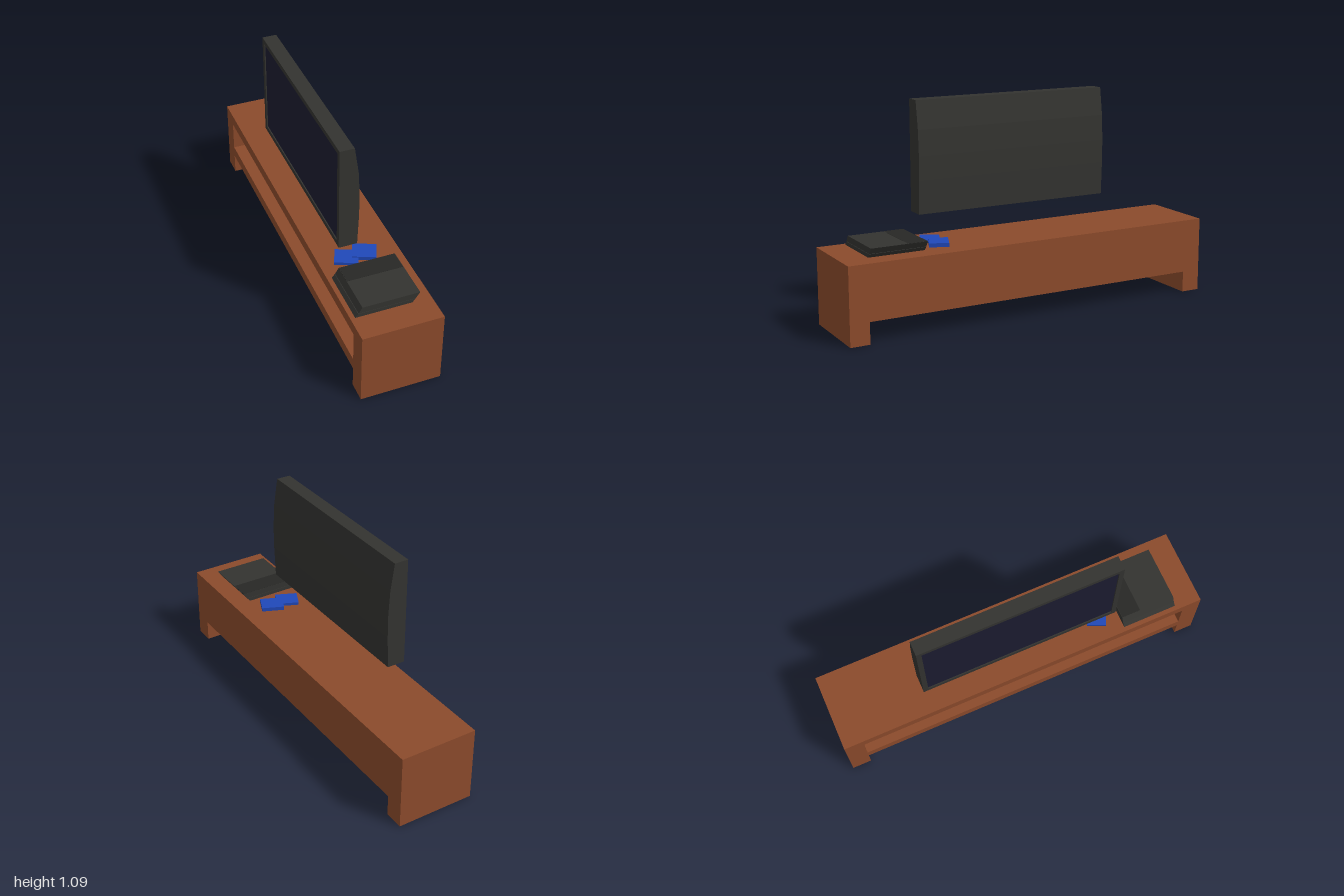
import * as THREE from 'three';

const material = (color) => new THREE.MeshStandardMaterial({ color, flatShading: true });
const wood = material(0x8b4a2b);
const plastic = material(0x333330);
const darkPlastic = material(0x272725);
const glass = material(0x1c1c30);
const blue = material(0x2048b8);

function addMesh(parent, name, geometry, mat) {
  const mesh = new THREE.Mesh(geometry, mat);
  mesh.name = name;
  parent.add(mesh);
  return mesh;
}

// Box given by its minimum and maximum corners
function addBox(parent, name, min, max, mat) {
  const size = max.map((v, i) => v - min[i]);
  const mesh = addMesh(parent, name, new THREE.BoxGeometry(...size), mat);
  mesh.position.set(...max.map((v, i) => (v + min[i]) / 2));
  return mesh;
}

// Profile in x and y, extruded from z0 to z1
function addPrism(parent, name, points, z0, z1, mat) {
  const shape = new THREE.Shape(points.map(([x, y]) => new THREE.Vector2(x, y)));
  const geometry = new THREE.ExtrudeGeometry(shape, { depth: z1 - z0, bevelEnabled: false });
  geometry.translate(0, 0, z0);
  return addMesh(parent, name, geometry, mat);
}

function rectangle(path, w, h) {
  path.moveTo(-w / 2, -h / 2);
  path.lineTo(w / 2, -h / 2);
  path.lineTo(w / 2, h / 2);
  path.lineTo(-w / 2, h / 2);
  path.closePath();
  return path;
}

// Long low bench with an open shelf on the -x side
function createBench() {
  const bench = new THREE.Group();
  bench.name = 'bench';
  const w = 0.205;
  for (const s of [-1, 1]) {
    const z = s * 0.95;
    addBox(bench, 'endPanel', [-w, 0, z - 0.05], [w, 0.39, z + 0.05], wood);
  }
  addBox(bench, 'topBoard', [-w, 0.33, -0.9], [w, 0.39, 0.9], wood);
  addBox(bench, 'shelfBoard', [-w, 0.11, -0.9], [w, 0.17, 0.9], wood);
  addBox(bench, 'backPanel', [w - 0.03, 0.17, -0.9], [w, 0.33, 0.9], wood);
  return bench;
}

// Wall television: curved rear housing, bezel and recessed screen
function createTelevision() {
  const tv = new THREE.Group();
  tv.name = 'television';
  const width = 1.056, height = 0.56, bottom = 0.532, border = 0.026;
  const housing = [
    [-0.12, 0.532], [-0.038, 0.532], [-0.031, 0.7], [-0.03, 0.82],
    [-0.037, 0.95], [-0.058, 1.092], [-0.12, 1.092],
  ];
  addPrism(tv, 'rearHousing', housing, -width / 2, width / 2, plastic);

  const frame = rectangle(new THREE.Shape(), width, height);
  frame.holes.push(rectangle(new THREE.Path(), width - 2 * border, height - 2 * border));
  const bezel = addMesh(tv, 'bezel',
    new THREE.ExtrudeGeometry(frame, { depth: 0.012, bevelEnabled: false }), plastic);
  bezel.rotation.y = -Math.PI / 2;
  bezel.position.set(-0.12, bottom + height / 2, 0);

  addBox(tv, 'screen', [-0.126, bottom + border, -width / 2 + border],
    [-0.12, bottom + height - border, width / 2 - border], glass);
  return tv;
}

// Media player made of two slanted slabs
function createPlayer() {
  const player = new THREE.Group();
  player.name = 'mediaPlayer';
  addPrism(player, 'lowerSlab',
    [[-0.182, 0.391], [0.105, 0.391], [0.12, 0.41], [-0.167, 0.41]], 0.567, 0.86, plastic);
  addPrism(player, 'upperSlab',
    [[-0.165, 0.412], [0.121, 0.412], [0.143, 0.443], [-0.147, 0.443]], 0.567, 0.86, plastic);
  addBox(player, 'topPanel', [-0.146, 0.44, 0.568], [0.141, 0.444, 0.67], darkPlastic);
  return player;
}

// Two flat blue cases lying askew beside the player
function createCases() {
  const cases = new THREE.Group();
  cases.name = 'cases';
  for (const [x, z, h, angle] of [[0.03, 0.458, 0.02, 0.4], [-0.064, 0.462, 0.015, 0.42]]) {
    const box = addMesh(cases, 'case', new THREE.BoxGeometry(0.118, h, 0.098), blue);
    box.position.set(x, 0.39 + h / 2, z);
    box.rotation.y = -angle;
  }
  return cases;
}

export function createModel() {
  const model = new THREE.Group();
  model.name = 'televisionBench';
  model.add(createBench(), createTelevision(), createPlayer(), createCases());
  return model;
}
